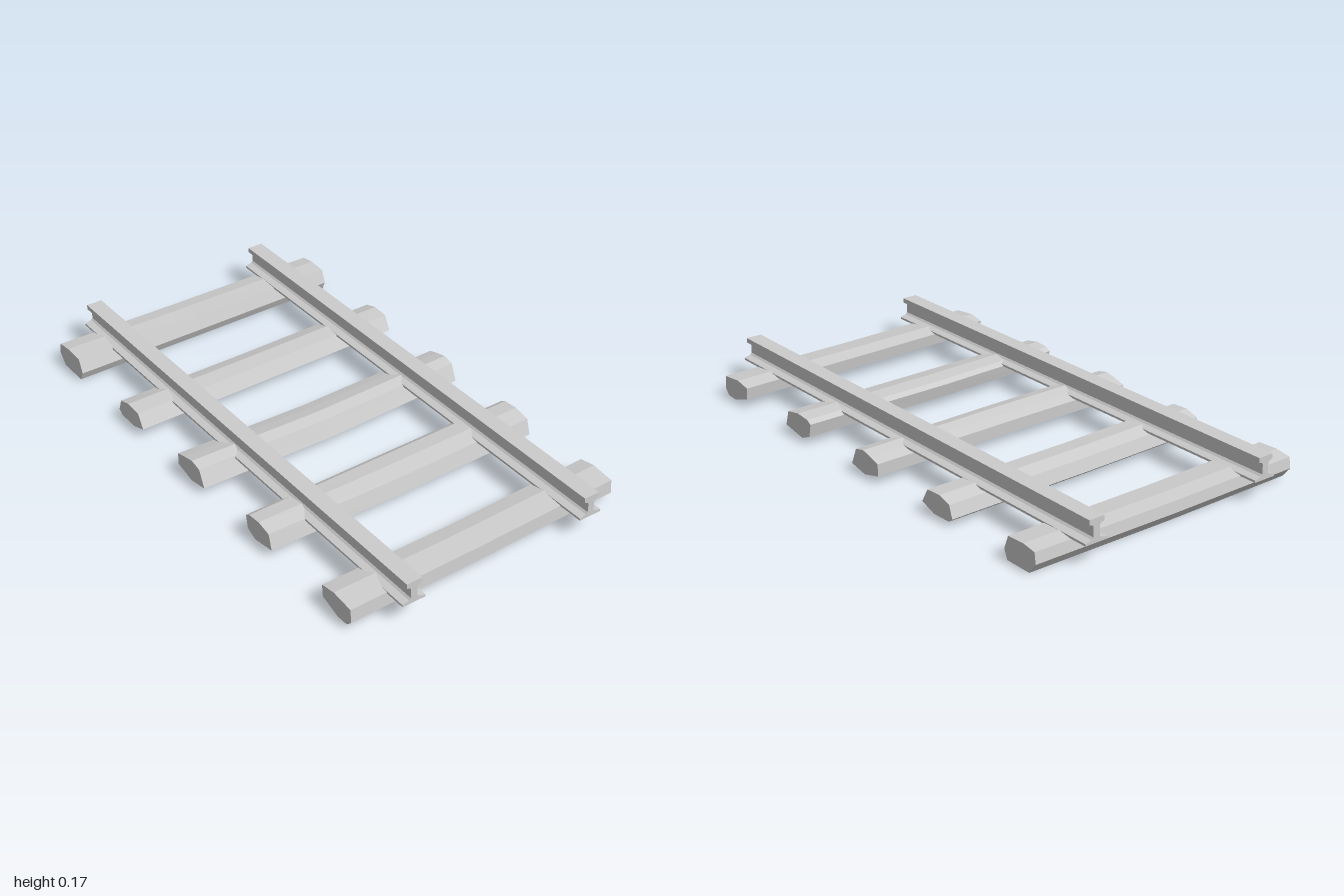
import * as THREE from 'three';

// Rough-hewn sleeper lofted through three cross-sections.
// spans: [back z, front z] at each station; profile: [0 back .. 1 front, y], running back, top, front, bottom.
const STATIONS = [-0.56, -0.03, 0.56];
const LIFT = [0.006, 0, 0];

function sleeperGeometry(spans, profile) {
  const n = profile.length;
  const rings = spans.map(([back, front], s) =>
    profile.map(([u, y]) => [STATIONS[s], y + LIFT[s], back + u * (front - back)]));
  const pos = [];
  const tri = (a, b, c) => pos.push(...a, ...b, ...c);
  for (let s = 0; s < 2; s++) {
    const a = rings[s], b = rings[s + 1];
    for (let i = 0; i < n; i++) {
      const j = (i + 1) % n;
      tri(a[i], a[j], b[j]);
      tri(a[i], b[j], b[i]);
    }
  }
  // End caps
  for (let i = 1; i < n - 1; i++) {
    tri(rings[2][0], rings[2][i], rings[2][i + 1]);
    tri(rings[0][0], rings[0][i + 1], rings[0][i]);
  }
  const g = new THREE.BufferGeometry();
  g.setAttribute('position', new THREE.Float32BufferAttribute(pos, 3));
  g.computeVertexNormals();
  return g;
}

const SLEEPERS = [
  {
    spans: [[-0.94, -0.772], [-0.94, -0.78], [-0.937, -0.783]],
    profile: [[0, 0.04], [0.04, 0.081], [0.4, 0.09], [0.88, 0.086], [1, 0.035], [0.9, 0], [0.2, 0]],
  },
  {
    spans: [[-0.5, -0.333], [-0.507, -0.345], [-0.515, -0.352]],
    profile: [[0, 0.03], [0.1, 0.076], [0.42, 0.092], [0.82, 0.088], [1, 0.035], [0.6, 0.013], [0.12, 0.015]],
  },
  {
    spans: [[-0.093, 0.073], [-0.085, 0.077], [-0.098, 0.057]],
    profile: [[0, 0.03], [0, 0.075], [0.25, 0.087], [0.55, 0.098], [0.83, 0.088], [1, 0.025], [0.5, 0.01], [0.3, 0.022]],
  },
  {
    spans: [[0.335, 0.485], [0.322, 0.488], [0.316, 0.478]],
    profile: [[0.06, 0.03], [0, 0.08], [0.13, 0.092], [0.5, 0.097], [0.89, 0.085], [1, 0.027], [0.35, 0.01]],
  },
  {
    spans: [[0.77, 0.927], [0.764, 0.917], [0.746, 0.903]],
    profile: [[0.03, 0.035], [0, 0.08], [0.4, 0.092], [0.97, 0.083], [1, 0.033], [0.85, 0.01], [0.55, 0.008]],
  },
];

// Right half of the rail section, bottom to top: foot, web, head
const RAIL_HALF = [
  [0.045, 0.082], [0.045, 0.09], [0.02, 0.097], [0.013, 0.104],
  [0.013, 0.14], [0.018, 0.146], [0.031, 0.15], [0.031, 0.168],
];

export function createModel() {
  const model = new THREE.Group();
  model.name = 'railwayTrack';
  const grey = new THREE.MeshStandardMaterial({ color: 0xcccccc });
  grey.name = 'light grey';

  // Sleepers
  SLEEPERS.forEach(({ spans, profile }, i) => {
    const sleeper = new THREE.Mesh(sleeperGeometry(spans, profile), grey);
    sleeper.name = `sleeper${i + 1}`;
    model.add(sleeper);
  });

  // Rails
  const mirrored = RAIL_HALF.map(([x, y]) => [-x, y]).reverse();
  const section = new THREE.Shape([...RAIL_HALF, ...mirrored].map(([x, y]) => new THREE.Vector2(x, y)));
  const railGeometry = new THREE.ExtrudeGeometry(section, { depth: 2, bevelEnabled: false });
  railGeometry.translate(0, 0, -1);
  for (const side of [-1, 1]) {
    const rail = new THREE.Mesh(railGeometry, grey);
    rail.name = side > 0 ? 'leftRail' : 'rightRail';
    rail.position.x = side * 0.37;
    model.add(rail);
  }
  return model;
}
